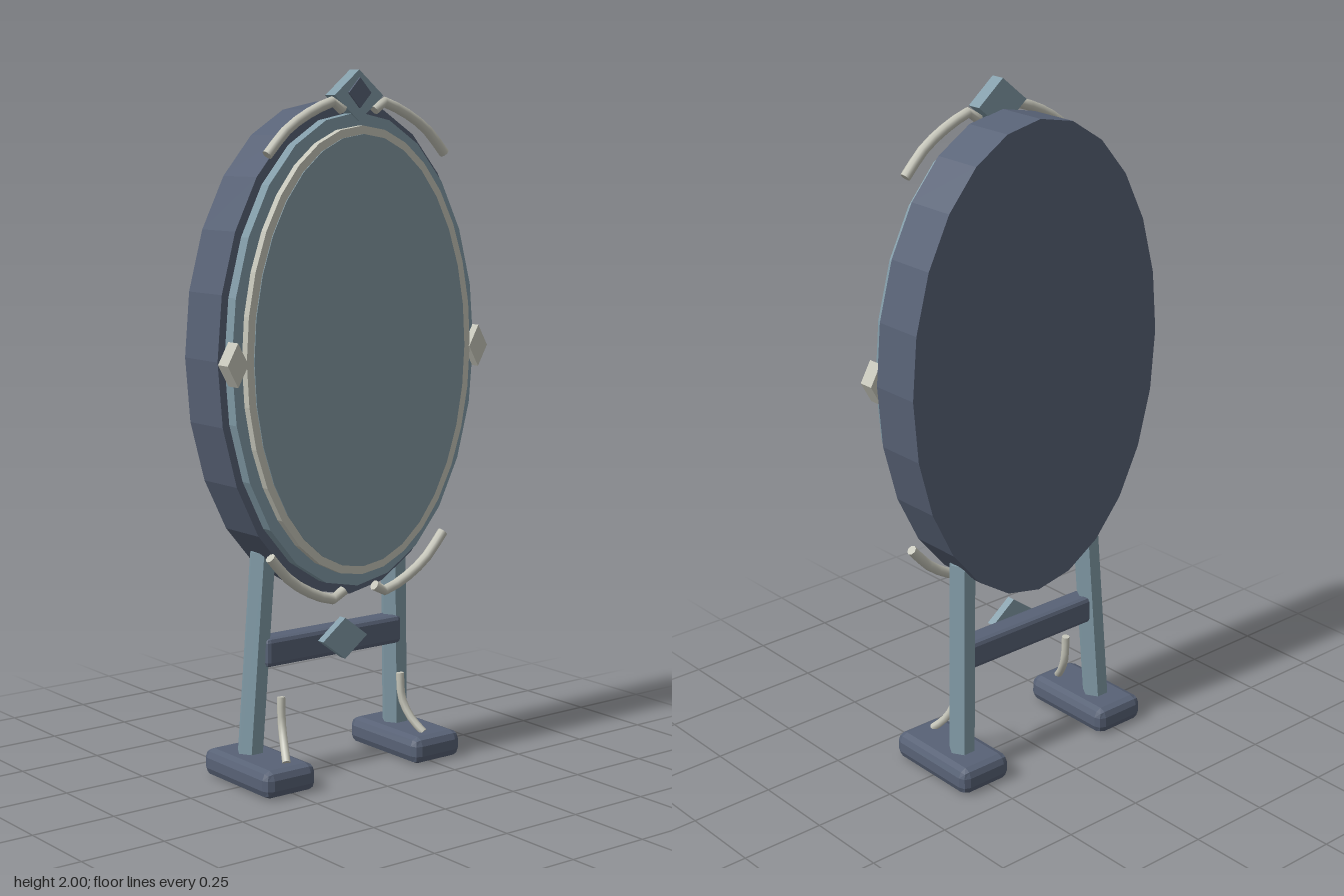
import * as THREE from 'three';
import { RoundedBoxGeometry } from 'three/addons/geometries/RoundedBoxGeometry.js';

const mat = (name, color) => {
  const m = new THREE.MeshStandardMaterial({ color });
  m.name = name;
  return m;
};

export function createModel() {
  const slate = mat('slate', 0x586276);
  const steel = mat('steel blue', 0x829ca8);
  const glass = mat('glass', 0x849aa3);
  const cream = mat('cream', 0xc6c6ba);
  const root = new THREE.Group();
  const CY = 1.22;

  const add = (name, geometry, material, x = 0, y = 0, z = 0) => {
    const mesh = new THREE.Mesh(geometry, material);
    mesh.name = name;
    mesh.position.set(x, y, z);
    root.add(mesh);
    return mesh;
  };
  const facet = (geometry) => {
    const g = geometry.index ? geometry.toNonIndexed() : geometry;
    g.computeVertexNormals();
    return g;
  };
  const ellipse = (rx, ry, n) => Array.from({ length: n }, (_, i) => {
    const a = (i / n) * Math.PI * 2;
    return new THREE.Vector2(rx * Math.cos(a), ry * Math.sin(a));
  });
  const diamond = (w, h) => [[w, 0], [0, h], [-w, 0], [0, -h]].map((p) => new THREE.Vector2(...p));

  // Flat plate of the given outline between two depths
  const plate = (name, points, z0, z1, material, x, y, hole) => {
    const shape = new THREE.Shape(points);
    if (hole) shape.holes.push(new THREE.Path(hole));
    const g = new THREE.ExtrudeGeometry(shape, { depth: z1 - z0, bevelEnabled: false });
    return add(name, g, material, x, y, z0);
  };

  // Bent rod with closed ends
  const rod = (name, points, radius) => {
    const curve = new THREE.CatmullRomCurve3(points.map((p) => new THREE.Vector3(...p)));
    add(name, new THREE.TubeGeometry(curve, 7, radius, 8), cream);
    for (const t of [0, 1]) {
      const p = curve.getPoint(t);
      const dir = curve.getTangent(t).multiplyScalar(t ? 1 : -1);
      const cap = add(name + 'Cap', new THREE.CircleGeometry(radius, 8), cream, p.x, p.y, p.z);
      cap.quaternion.setFromUnitVectors(new THREE.Vector3(0, 0, 1), dir);
    }
  };

  // Oval mirror: casing, bezel, trim ring and glass
  plate('casing', ellipse(0.45, 0.695, 24), -0.082, 0.075, slate, 0, CY);
  plate('bezel', ellipse(0.428, 0.665, 24), 0.075, 0.11, steel, 0, CY);
  plate('trimRing', ellipse(0.395, 0.628, 32), 0.11, 0.133, cream, 0, CY, ellipse(0.372, 0.605, 32));
  plate('mirrorGlass', ellipse(0.372, 0.605, 32), 0.11, 0.136, glass, 0, CY);

  // Crest and stretcher ornaments
  plate('crest', diamond(0.085, 0.07), 0.072, 0.115, steel, 0, 1.93);
  plate('crestInset', diamond(0.039, 0.042), 0.115, 0.12, slate, 0, 1.937);
  plate('stretcherDiamond', diamond(0.08, 0.06), 0.03, 0.055, steel, 0, 0.39);

  // Bar between the legs
  add('stretcher', facet(new RoundedBoxGeometry(0.49, 0.085, 0.07, 1, 0.014)), slate, 0, 0.373, -0.022);

  for (const s of [1, -1]) {
    const side = s > 0 ? 'left' : 'right';
    plate(side + 'SideDiamond', diamond(0.034, 0.06), 0.09, 0.136, cream, s * 0.425, 1.215);

    // Scrolls over and under the oval
    rod(side + 'UpperScroll', [[s * 0.31, 1.77, 0.112], [s * 0.24, 1.84, 0.112],
      [s * 0.14, 1.895, 0.112], [s * 0.08, 1.912, 0.112], [s * 0.055, 1.89, 0.112]], 0.015);
    rod(side + 'LowerScroll', [[s * 0.31, 0.675, 0.118], [s * 0.245, 0.605, 0.118],
      [s * 0.16, 0.553, 0.118], [s * 0.085, 0.53, 0.118], [s * 0.055, 0.55, 0.118]], 0.015);

    // Six-sided splayed leg
    const foot = new THREE.Vector3(s * 0.267, 0.05, -0.046);
    const top = new THREE.Vector3(s * 0.236, 0.662, -0.02);
    const dir = top.clone().sub(foot);
    const legGeometry = new THREE.CylinderGeometry(0.039, 0.039, dir.length(), 6);
    legGeometry.rotateY(Math.PI / 6);
    const mid = foot.clone().add(top).multiplyScalar(0.5);
    add(side + 'Leg', facet(legGeometry), steel, mid.x, mid.y, mid.z)
      .quaternion.setFromUnitVectors(new THREE.Vector3(0, 1, 0), dir.normalize());

    // Chamfered foot with a small bent rod on top
    add(side + 'Foot', facet(new RoundedBoxGeometry(0.174, 0.08, 0.32, 1, 0.025)), slate, s * 0.266, 0.04, 0);
    rod(side + 'FootScroll', [[s * 0.217, 0.25, 0.038], [s * 0.22, 0.17, 0.046],
      [s * 0.233, 0.115, 0.075], [s * 0.25, 0.08, 0.108]], 0.012);
  }
  return root;
}
